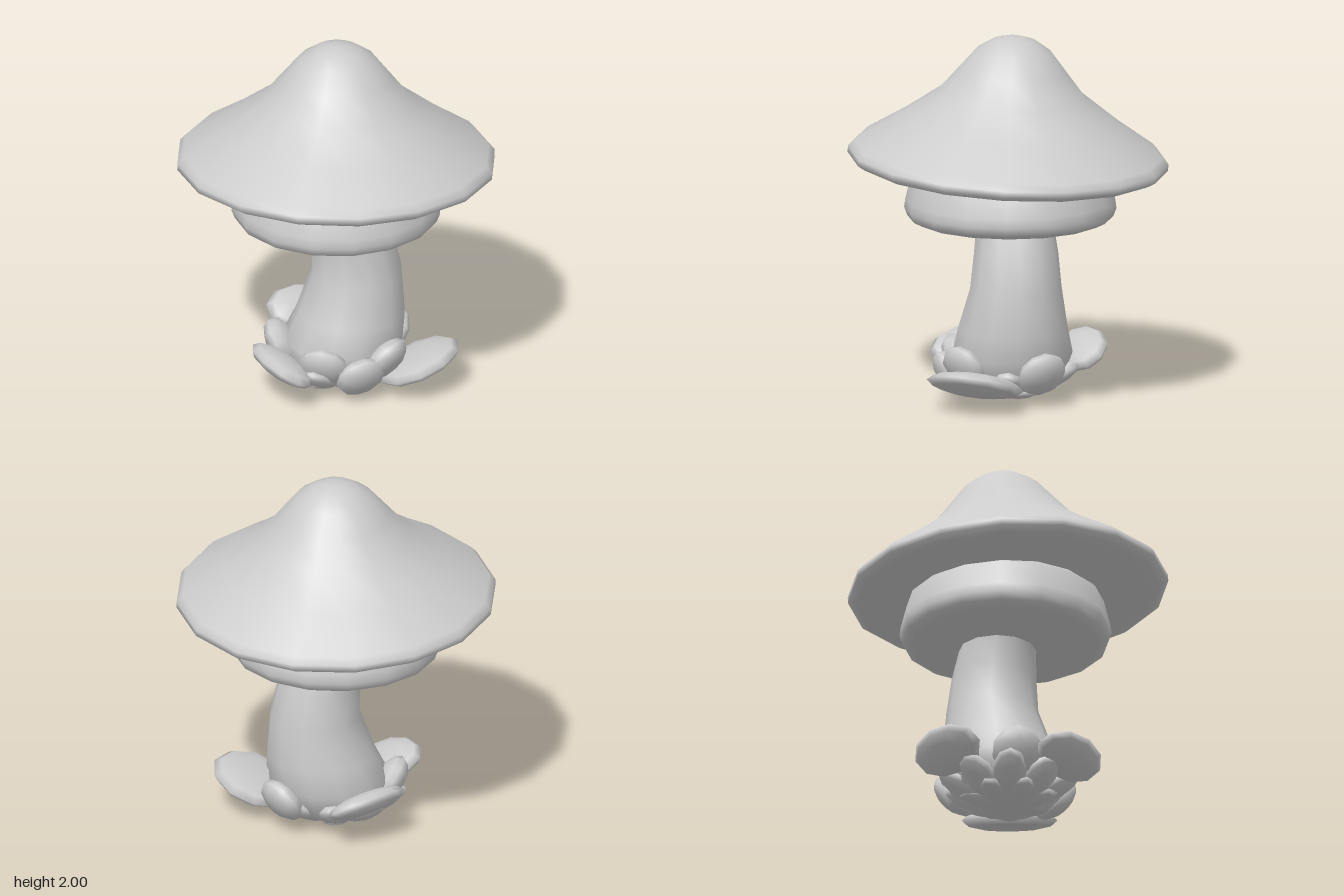
import * as THREE from 'three';
import { mergeVertices } from 'three/addons/utils/BufferGeometryUtils.js';

const material = new THREE.MeshStandardMaterial({ color: 0xcccccc });

function addMesh(parent, name, geometry) {
  const mesh = new THREE.Mesh(geometry, material);
  mesh.name = name;
  parent.add(mesh);
  return mesh;
}

// Turns [radius, height] pairs, listed from the bottom up, around the y axis.
function turned(profile, sides) {
  return new THREE.LatheGeometry(profile.map(([r, y]) => new THREE.Vector2(r, y)), sides);
}

// Stem rings: height, radius, centre x, centre z.
function stemGeometry() {
  const rings = [
    [0.02, 0, 0, 0], [0.025, 0.13, 0, 0], [0.1, 0.29, 0.02, -0.02], [0.25, 0.33, 0.03, -0.04],
    [0.4, 0.3, 0.07, -0.06], [0.63, 0.25, 0.095, -0.09], [0.82, 0.23, 0.07, -0.08],
    [0.97, 0.21, 0.04, -0.06], [1.1, 0.2, 0, -0.03],
  ];
  const geometry = turned(rings.map(([y, r]) => [r, y]), 12);
  const pos = geometry.attributes.position;
  for (let i = 0; i < pos.count; i++) {
    const [, , cx, cz] = rings[i % rings.length];
    pos.setX(i, pos.getX(i) + cx);
    pos.setZ(i, pos.getZ(i) + cz);
  }
  geometry.deleteAttribute('uv');
  geometry.deleteAttribute('normal');
  const welded = mergeVertices(geometry);
  welded.computeVertexNormals();
  return welded;
}

// A flattened pad that points away from the stem; tilt lifts its outer end, roll leans it sideways.
function addLeaf(parent, name, [x, y, z], [length, width, thick], tilt, roll = 0) {
  const geometry = new THREE.SphereGeometry(1, 10, 6);
  geometry.scale(length, thick, width);
  const leaf = addMesh(parent, name, geometry);
  leaf.position.set(x, y, z);
  leaf.rotation.set(roll, -Math.atan2(z, x), tilt, 'YZX');
}

export function createModel() {
  const model = new THREE.Group();
  model.name = 'mushroom';

  // Bell-shaped cap, tipped slightly so that its front is higher
  const cap = addMesh(model, 'cap', turned([
    [0, -0.03], [0.5, -0.04], [0.76, -0.035], [0.83, -0.02], [0.872, 0.005], [0.872, 0.04], [0.84, 0.075],
    [0.62, 0.22], [0.41, 0.375], [0.3, 0.51], [0.21, 0.62], [0.12, 0.68], [0.05, 0.7], [0, 0.702],
  ], 16));
  cap.position.y = 1.3;
  cap.rotation.x = -0.06;

  // Thick collar under the cap
  const collar = addMesh(model, 'collar', turned([
    [0, 0.97], [0.4, 0.97], [0.51, 0.98], [0.56, 1.005], [0.577, 1.05],
    [0.57, 1.1], [0.535, 1.24], [0.5, 1.27], [0, 1.27],
  ], 16));
  collar.position.z = -0.015;

  addMesh(model, 'stem', stemGeometry());

  // Large leaves spreading from the foot
  const leaves = new THREE.Group();
  leaves.name = 'leaves';
  model.add(leaves);
  addLeaf(leaves, 'largeLeaf', [0.46, 0.15, -0.01], [0.24, 0.27, 0.06], 0.38);
  addLeaf(leaves, 'largeLeaf', [-0.22, 0.21, 0.34], [0.15, 0.22, 0.06], 0.45, -0.22);
  addLeaf(leaves, 'largeLeaf', [-0.26, 0.24, -0.32], [0.15, 0.23, 0.06], 0.6, 0.15);

  // Upright leaves hugging the stem
  const upright = [[0, 0.2, 0.28], [0.31, 0.21, 0.12], [0.22, 0.19, -0.3], [-0.29, 0.22, 0.06], [0.2, 0.15, 0.25]];
  for (const p of upright) addLeaf(leaves, 'uprightLeaf', p, [0.14, 0.14, 0.075], 1.0);

  // Ring of small leaves forming the rounded underside
  for (let i = 0; i < 9; i++) {
    const a = (i + 0.4) / 9 * Math.PI * 2;
    addLeaf(leaves, 'lowerLeaf', [0.24 * Math.cos(a), 0.11, 0.24 * Math.sin(a)], [0.17, 0.1, 0.055], 0.5);
  }

  // Flat pads overlapping beneath the foot
  for (let i = 0; i < 7; i++) {
    const a = i / 7 * Math.PI * 2;
    addLeaf(leaves, 'footPad', [0.13 * Math.cos(a), 0.05, 0.13 * Math.sin(a)], [0.15, 0.09, 0.04], 0.16);
  }
  return model;
}
